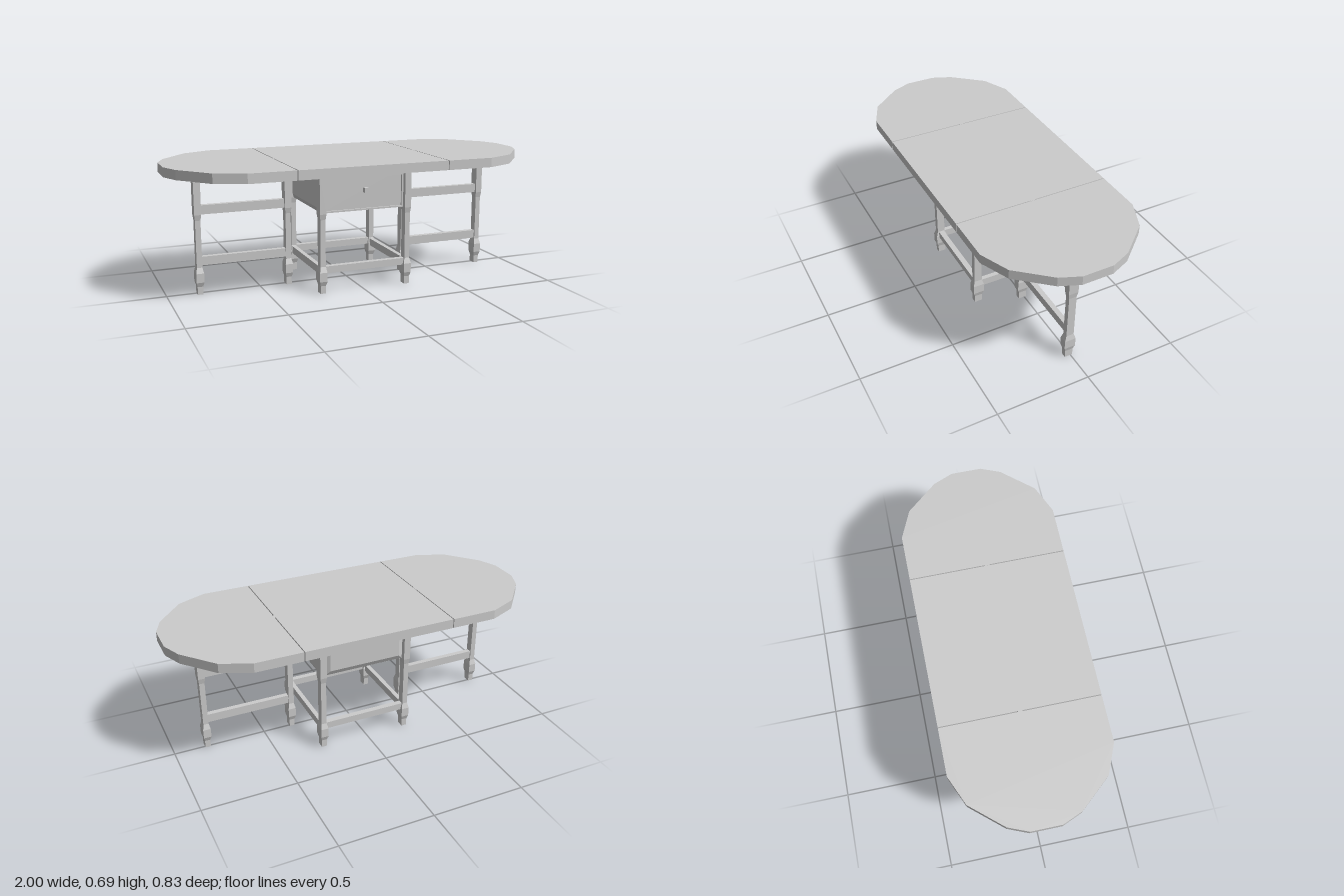
import * as THREE from 'three';

const mat = new THREE.MeshStandardMaterial({ color: 0xcccccc, flatShading: true });

function add(parent, name, geo, x = 0, y = 0, z = 0) {
  const m = new THREE.Mesh(geo, mat);
  m.name = name;
  m.position.set(x, y, z);
  parent.add(m);
  return m;
}

// box given by its min and max on each axis
function bar(parent, name, x0, x1, y0, y1, z0, z1) {
  return add(parent, name, new THREE.BoxGeometry(x1 - x0, y1 - y0, z1 - z0),
    (x0 + x1) / 2, (y0 + y1) / 2, (z0 + z1) / 2);
}

// four-sided shaped leg: [half depth, height]
const LEG = [[0, 0], [0.0215, 0], [0.0215, 0.042], [0.0305, 0.066], [0.0305, 0.115], [0.021, 0.145],
  [0.021, 0.395], [0.0265, 0.425], [0.0265, 0.642], [0, 0.642]];
function leg(parent, name, x, z) {
  const pts = LEG.map(([r, y]) => new THREE.Vector2(r * Math.SQRT2, y));
  const geo = new THREE.LatheGeometry(pts, 4, Math.PI / 4);
  geo.scale(0.68, 1, 1);
  add(parent, name, geo, x, 0, z);
}

// raised panel: a box whose outer face is drawn in on all sides
function raisedPanel(w, h, d, inset) {
  const geo = new THREE.BoxGeometry(w, h, d);
  const p = geo.attributes.position;
  for (let i = 0; i < p.count; i++) {
    if (p.getZ(i) > 0) {
      p.setX(i, p.getX(i) - Math.sign(p.getX(i)) * inset);
      p.setY(i, p.getY(i) - Math.sign(p.getY(i)) * inset);
    }
  }
  return geo;
}

// flat slab from an outline in x and z
function slab(points, y0, y1) {
  const shape = new THREE.Shape(points.map(([x, z]) => new THREE.Vector2(x, -z)));
  const geo = new THREE.ExtrudeGeometry(shape, { depth: y1 - y0, bevelEnabled: false });
  geo.rotateX(-Math.PI / 2);
  geo.translate(0, y0, 0);
  return geo;
}

export function createModel() {
  const table = new THREE.Group();
  table.name = 'gatelegTable';

  // top: fixed centre and two rounded drop leaves
  const top = new THREE.Group();
  top.name = 'tableTop';
  table.add(top);
  bar(top, 'centreTop', -0.411, 0.406, 0.64, 0.69, -0.416, 0.416);
  const arc = [[0.662, 0.416], [0.815, 0.35], [0.957, 0.185], [1, 0.081]];
  for (const s of [1, -1]) {
    const inner = s > 0 ? 0.411 : 0.416;
    const half = [[inner, 0.416], ...arc];
    const outline = [...half, ...half.map(([x, z]) => [x, -z]).reverse()];
    add(top, s > 0 ? 'leftLeaf' : 'rightLeaf', slab(outline.map(([x, z]) => [s * x, z]), 0.64, 0.69));
    const hx = s * (inner - 0.0025);
    bar(top, 'hinge', hx - 0.004, hx + 0.004, 0.645, 0.6905, -0.012, 0.012);
  }

  // fixed base: four legs joined by low stretchers
  const base = new THREE.Group();
  base.name = 'base';
  table.add(base);
  const xs = [-0.23, 0.252], zs = [-0.246, 0.236];
  for (const x of xs) {
    for (const z of zs) leg(base, 'baseLeg', x, z);
    bar(base, 'sideStretcher', x - 0.012, x + 0.012, 0.1, 0.141, zs[0], zs[1]);
  }
  for (const z of zs) bar(base, 'crossStretcher', xs[0], xs[1], 0.107, 0.144, z - 0.015, z + 0.015);

  // apron box with raised panels on the sides and back
  const apron = new THREE.Group();
  apron.name = 'apron';
  table.add(apron);
  bar(apron, 'apronBox', -0.228, 0.25, 0.425, 0.641, -0.246, 0.228);
  const cy = 0.533, h = 0.215;
  add(apron, 'leftPanel', raisedPanel(0.44, h, 0.014, 0.026), 0.257, cy, -0.005).rotation.y = Math.PI / 2;
  add(apron, 'rightPanel', raisedPanel(0.44, h, 0.014, 0.026), -0.235, cy, -0.005).rotation.y = -Math.PI / 2;
  add(apron, 'backPanel', raisedPanel(0.446, h, 0.014, 0.026), 0.011, cy, -0.253).rotation.y = Math.PI;

  // drawer front: shallow frame around a recessed panel, with a small knob
  const frame = new THREE.Shape([[-0.212, 0.425], [0.234, 0.425], [0.234, 0.641], [-0.212, 0.641]]
    .map(([x, y]) => new THREE.Vector2(x, y)));
  frame.holes.push(new THREE.Path([[-0.203, 0.434], [-0.203, 0.6], [0.225, 0.6], [0.225, 0.434]]
    .map(([x, y]) => new THREE.Vector2(x, y))));
  add(apron, 'drawerFrame', new THREE.ExtrudeGeometry(frame, { depth: 0.01, bevelEnabled: false }), 0, 0, 0.228);
  bar(apron, 'drawerKnob', 0.004, 0.025, 0.52, 0.546, 0.228, 0.258);

  // swing-out gates that carry the leaves
  const gates = [['leftGate', 0.337, 0.82, 0.15], ['rightGate', -0.829, -0.345, 0.155]];
  for (const [name, x0, x1, low] of gates) {
    const gate = new THREE.Group();
    gate.name = name;
    table.add(gate);
    for (const x of [x0, x1]) leg(gate, 'gateLeg', x, 0.011);
    bar(gate, 'upperRail', x0, x1, 0.425, 0.473, -0.003, 0.025);
    bar(gate, 'lowerRail', x0, x1, low, low + 0.046, -0.003, 0.025);
  }
  return table;
}
